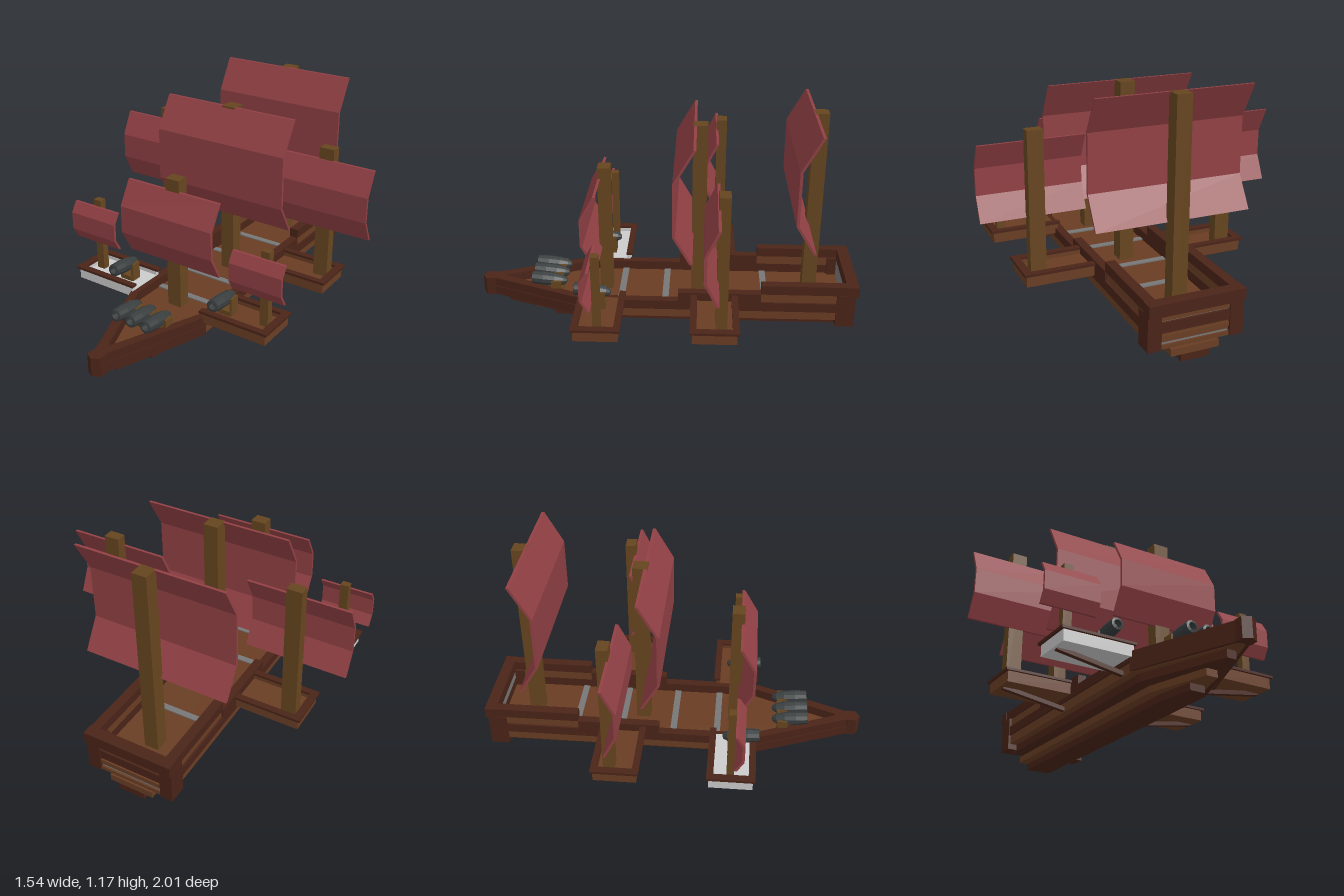
import * as THREE from 'three';

const mat = (color) => new THREE.MeshStandardMaterial({ color, flatShading: true, side: THREE.DoubleSide });
const DARK = mat(0x4a2418), WOOD = mat(0x693d23), MAST = mat(0x66451f), SAIL = mat(0x914044);
const IRON = mat(0x383d3d), GREY = mat(0xcccccc), SLATE = mat(0x777777);

export function createModel() {
  const ship = new THREE.Group();
  ship.name = 'sailingShip';

  const add = (name, geo, material, parent = ship) => {
    const m = new THREE.Mesh(geo, material);
    m.name = name;
    parent.add(m);
    return m;
  };
  // box given by its limits on each axis
  const box = (name, material, x0, x1, y0, y1, z0, z1, parent = ship) => {
    const m = add(name, new THREE.BoxGeometry(x1 - x0, y1 - y0, z1 - z0), material, parent);
    m.position.set((x0 + x1) / 2, (y0 + y1) / 2, (z0 + z1) / 2);
    return m;
  };
  // pointed deck outline in x and z
  const outline = (w, zBack, zTaper, zTip, tip) =>
    [[-w, zBack], [w, zBack], [w, zTaper], [tip, zTip], [-tip, zTip], [-w, zTaper]].map((p) => new THREE.Vector2(...p));
  const slab = (name, material, y0, y1, outer, inner) => {
    const shape = new THREE.Shape(outer);
    if (inner) shape.holes.push(new THREE.Path(inner));
    const g = new THREE.ExtrudeGeometry(shape, { depth: y1 - y0, bevelEnabled: false });
    g.rotateX(Math.PI / 2).translate(0, y1, 0);
    return add(name, g, material);
  };

  // stepped hull, keel upward
  slab('keel', DARK, 0, 0.035, outline(0.07, -0.98, 0.42, 0.61, 0.04));
  slab('lowerHull', WOOD, 0.035, 0.07, outline(0.12, -0.98, 0.4, 0.72, 0.03));
  slab('middleHull', DARK, 0.07, 0.11, outline(0.185, -0.95, 0.42, 0.86, 0.025));
  slab('upperHull', WOOD, 0.11, 0.16, outline(0.225, -0.97, 0.42, 0.94, 0.015));
  slab('bulwark', DARK, 0.16, 0.21, outline(0.235, -0.98, 0.42, 0.97, 0.02), outline(0.19, -0.94, 0.42, 0.87, 0.006));
  // dark planking along the bow below the rail
  for (const s of [-1, 1]) {
    const a = new THREE.Vector2(s * 0.228, 0.42), b = new THREE.Vector2(s * 0.018, 0.96);
    const plank = add('bowPlank', new THREE.BoxGeometry(0.02, 0.05, a.distanceTo(b)), DARK);
    plank.position.set((a.x + b.x) / 2, 0.137, (a.y + b.y) / 2);
    plank.rotation.y = Math.atan2(b.x - a.x, b.y - a.y);
  }
  const stem = add('stemPost', new THREE.CylinderGeometry(0.045, 0.045, 0.1, 6), DARK);
  stem.position.set(0, 0.16, 0.96);

  // raised rails amidships and aft
  for (const s of [-1, 1]) {
    const side = (name, m, a, b, ...r) => box(name, m, Math.min(s * a, s * b), Math.max(s * a, s * b), ...r);
    side('midRail', DARK, 0.19, 0.235, 0.21, 0.26, -0.5, -0.07);
    side('aftRailLower', WOOD, 0.19, 0.225, 0.21, 0.26, -0.95, -0.5);
    side('aftRail', DARK, 0.185, 0.235, 0.26, 0.31, -0.99, -0.5);
    side('sternPost', DARK, 0.17, 0.238, 0.08, 0.26, -0.985, -0.89);
  }
  box('sternRail', DARK, -0.238, 0.238, 0.25, 0.31, -1, -0.94);
  // planked transom with grey gaps
  box('transom', SLATE, -0.18, 0.18, 0.08, 0.25, -0.968, -0.94);
  for (let i = 0; i < 4; i++) {
    const y = 0.08 + i * 0.046;
    box('transomPlank', WOOD, -0.18, 0.18, y, y + 0.02, -0.978, -0.96);
  }
  // grey beams across the deck
  for (const z of [-0.53, -0.28, 0, 0.235]) box('deckBeam', SLATE, -0.19, 0.19, 0.15, 0.166, z - 0.017, z + 0.017);

  // outrigger platforms with rims and slanting braces
  for (const s of [-1, 1]) {
    for (const zc of [0.323, -0.258]) {
      const g = new THREE.Group();
      g.name = 'sidePlatform';
      ship.add(g);
      const floorMat = s < 0 && zc > 0 ? GREY : WOOD;
      const part = (name, m, a, b, y0, y1, z0, z1) =>
        box(name, m, Math.min(s * a, s * b), Math.max(s * a, s * b), y0, y1, zc + z0, zc + z1, g);
      part('platformFloor', floorMat, 0.22, 0.58, 0.18, 0.215, -0.11, 0.11);
      part('platformWall', floorMat, 0.56, 0.582, 0.18, 0.238, -0.11, 0.11);
      part('platformRim', DARK, 0.555, 0.595, 0.237, 0.25, -0.122, 0.122);
      for (const t of [-1, 1]) {
        part('platformWall', floorMat, 0.22, 0.582, 0.18, 0.238, t * 0.1 - 0.01, t * 0.1 + 0.01);
        part('platformRim', DARK, 0.21, 0.595, 0.237, 0.25, t * 0.105 - 0.017, t * 0.105 + 0.017);
      }
      const brace = add('platformBrace', new THREE.BoxGeometry(0.38, 0.022, 0.025), DARK, g);
      brace.position.set(s * 0.38, 0.152, zc + 0.016);
      brace.rotation.z = s * Math.atan2(0.06, 0.37);
    }
  }

  // mast with a folded sail; profile is four [z, y] points from top to foot
  const rig = (name, mx, half, z0, z1, base, top, x0, x1, profile) => {
    const g = new THREE.Group();
    g.name = name;
    ship.add(g);
    box('mast', MAST, mx - half, mx + half, base, top, z0, z1, g);
    const back = profile.map(([z, y]) => [z - 0.014, y]).reverse();
    const shape = new THREE.Shape([...profile, ...back].map((p) => new THREE.Vector2(...p)));
    const geo = new THREE.ExtrudeGeometry(shape, { depth: x1 - x0, bevelEnabled: false });
    geo.rotateY(-Math.PI / 2).translate(x1, 0, 0);
    add('sail', geo, SAIL, g);
  };
  rig('aftRig', -0.007, 0.038, -0.805, -0.73, 0.15, 1.17, -0.39, 0.378,
    [[-0.73, 1.17], [-0.637, 1.0], [-0.637, 0.72], [-0.73, 0.57]]);
  rig('mainRig', -0.007, 0.038, -0.21, -0.135, 0.15, 1.1, -0.39, 0.378,
    [[-0.14, 1.1], [-0.043, 0.93], [-0.043, 0.65], [-0.13, 0.5]]);
  rig('foreRig', -0.007, 0.04, 0.29, 0.355, 0.15, 0.865, -0.28, 0.268,
    [[0.353, 0.805], [0.424, 0.68], [0.424, 0.535], [0.353, 0.41]]);
  for (const s of [-1, 1]) {
    const d = s > 0 ? -0.02 : 0;
    const [a, b] = s > 0 ? [0.24, 0.77] : [-0.77, -0.24];
    rig('sideRig', s * 0.505, 0.04, -0.318, -0.262, 0.2, 0.96 + d, a, b,
      [[-0.258, 0.9 + d], [-0.198, 0.775 + d], [-0.198, 0.64 + d], [-0.258, 0.52 + d]]);
    const [e, f] = s > 0 ? [0.342, 0.633] : [-0.66, -0.37];
    rig('smallRig', s * 0.517, 0.023, 0.3, 0.338, 0.2, 0.62, e, f,
      [[0.35, 0.585], [0.384, 0.53], [0.384, 0.435], [0.35, 0.377]]);
  }

  // cannons: lathed barrel between two carriage cheeks
  const barrel = new THREE.LatheGeometry([[0, -0.1], [0.014, -0.095], [0.026, -0.075], [0.034, -0.03], [0.036, 0.03],
    [0.032, 0.09], [0.02, 0.093], [0.018, 0.06], [0, 0.06]].map((p) => new THREE.Vector2(...p)), 10).rotateX(Math.PI / 2);
  const cannon = (x, y, z, floor) => {
    const g = new THREE.Group();
    g.name = 'cannon';
    g.position.set(x, y, z);
    ship.add(g);
    add('barrel', barrel, IRON, g).rotation.x = -0.1;
    for (const s of [-1, 1]) {
      box('carriageCheek', MAST, s * 0.036 - 0.007, s * 0.036 + 0.007, floor - y, 0.005, -0.07, -0.015, g);
    }
    box('carriageBed', MAST, -0.036, 0.036, floor - y, floor - y + 0.025, -0.07, -0.01, g);
  };
  for (const x of [-0.093, -0.003, 0.09]) cannon(x, 0.245, 0.625, 0.16);
  for (const x of [-0.322, 0.3]) cannon(x, 0.305, 0.368, 0.215);

  return ship;
}
